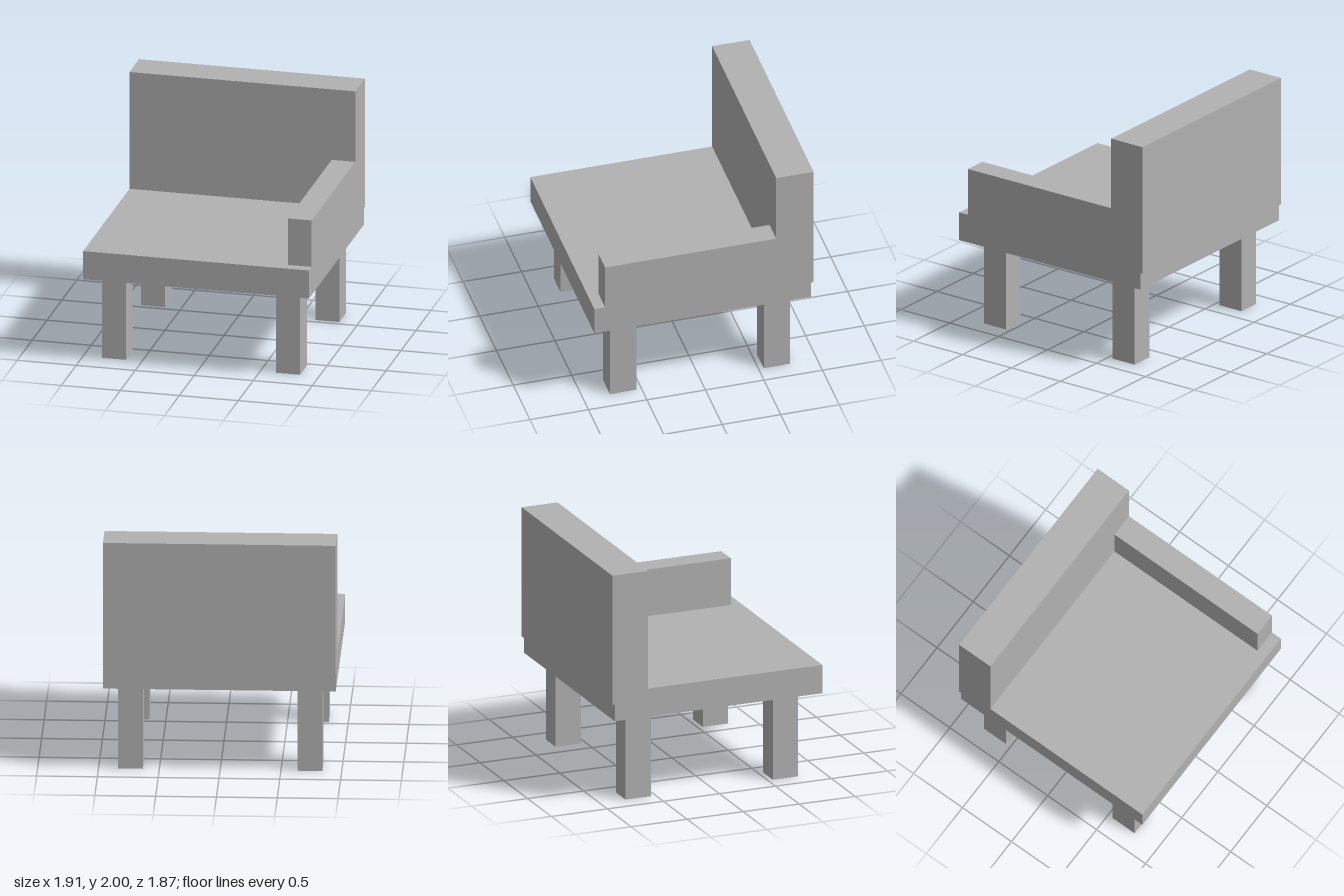
import * as THREE from 'three';

export function createModel() {
  const group = new THREE.Group();
  const grey = new THREE.MeshStandardMaterial({ color: 0xb2b2b2 });
  grey.name = 'grey';

  // Box given by its low and high limits on each axis
  const addBox = (name, [x0, x1], [y0, y1], [z0, z1]) => {
    const mesh = new THREE.Mesh(new THREE.BoxGeometry(x1 - x0, y1 - y0, z1 - z0), grey);
    mesh.position.set((x0 + x1) / 2, (y0 + y1) / 2, (z0 + z1) / 2);
    mesh.name = name;
    group.add(mesh);
  };

  const W = 0.957; // half width
  addBox('seat', [-W, W], [0.735, 0.98], [-0.915, 0.937]);
  // Backrest overhangs the rear edge of the seat slightly
  addBox('backrest', [-W, W], [0.88, 2], [-0.937, -0.617]);
  // Single armrest on the left side
  addBox('armrest', [0.757, W], [0.98, 1.385], [-0.617, 0.845]);

  // Four square legs
  for (const sx of [-1, 1]) {
    for (const sz of [-1, 1]) {
      const x = sx * 0.738, z = sz * 0.657;
      const name = (sz > 0 ? 'front' : 'back') + (sx > 0 ? 'Left' : 'Right') + 'Leg';
      addBox(name, [x - 0.102, x + 0.102], [0, 0.735], [z - 0.113, z + 0.113]);
    }
  }
  return group;
}
